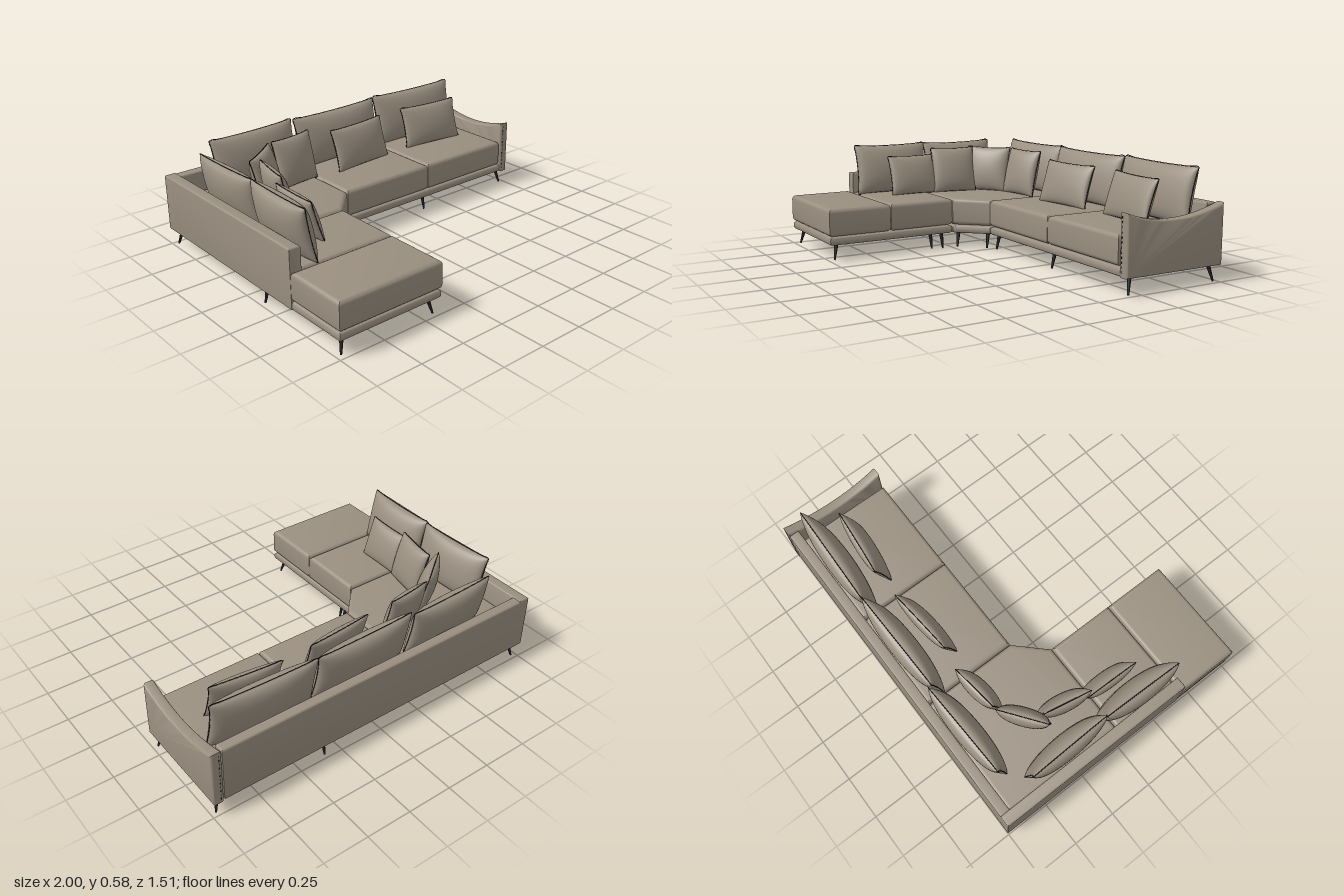
import * as THREE from 'three';
import { mergeGeometries, toCreasedNormals } from 'three/addons/utils/BufferGeometryUtils.js';

const fabric = new THREE.MeshStandardMaterial({ color: 0x9a8f80 });
fabric.name = 'taupe fabric';
const dark = new THREE.MeshStandardMaterial({ color: 0x1d1c1e });
dark.name = 'dark metal and thread';

export function createModel() {
  const sofa = new THREE.Group();
  sofa.name = 'cornerSofa';

  const add = (parent, name, geometry, material = fabric) => {
    const mesh = new THREE.Mesh(geometry, material);
    mesh.name = name;
    parent.add(mesh);
    return mesh;
  };

  // Extrusion with rounded edges that stays inside the given outline
  const softExtrude = (shape, height, r) => toCreasedNormals(new THREE.ExtrudeGeometry(shape, {
    depth: height - 2 * r, bevelThickness: r, bevelSize: r, bevelOffset: -r,
    bevelSegments: 5, curveSegments: 20,
  }).translate(0, 0, r), 0.6);

  // Upholstered slab: floor-plan outline of [x, z] points between two heights
  const slab = (name, plan, y0, y1, r) => {
    const shape = new THREE.Shape(plan.map(([x, z]) => new THREE.Vector2(x, -z)));
    return add(sofa, name, softExtrude(shape, y1 - y0, r).rotateX(-Math.PI / 2).translate(0, y0, 0));
  };
  const rect = (x0, x1, z0, z1) => [[x0, z1], [x1, z1], [x1, z0], [x0, z0]];

  // Base frame
  const cornerPlan = (x0, z0, gap) => [[x0, -gap], [-0.4 - gap * 0.4, -gap],
    [-0.245 - gap, -0.16 - gap * 0.4], [-0.245 - gap, z0], [x0, z0]];
  slab('chaiseBase', rect(-0.998, -0.402, 0.003, 0.748), 0.085, 0.131, 0.016);
  slab('cornerBase', cornerPlan(-0.99, -0.745, 0.003), 0.085, 0.131, 0.016);
  slab('mainBase', rect(-0.243, 0.945, -0.745, -0.162), 0.085, 0.131, 0.016);

  // Seat cushions
  const seats = [
    ['ottomanSeat', rect(-1, -0.4, 0.392, 0.752)],
    ['chaiseSeat', rect(-0.937, -0.4, 0.002, 0.388)],
    ['cornerSeat', cornerPlan(-0.937, -0.698, 0.002)],
    ['middleSeat', rect(-0.243, 0.338, -0.698, -0.16)],
    ['endSeat', rect(0.342, 0.928, -0.698, -0.16)],
  ];
  for (const [name, plan] of seats) slab(name, plan, 0.133, 0.287, 0.024);

  // Low back panels
  slab('rearBack', rect(-1, 0.938, -0.755, -0.698), 0.085, 0.395, 0.01);
  slab('sideBack', rect(-1, -0.937, -0.755, 0.39), 0.085, 0.4, 0.01);

  // Armrest with a dipped top edge
  const armShape = new THREE.Shape();
  armShape.moveTo(0.158, 0.085);
  armShape.lineTo(0.757, 0.085);
  armShape.lineTo(0.757, 0.4);
  armShape.quadraticCurveTo(0.44, 0.29, 0.158, 0.397);
  armShape.closePath();
  add(sofa, 'armrest', softExtrude(armShape, 0.058, 0.012).rotateY(Math.PI / 2).translate(0.941, 0, 0));

  // Stitches down both ends of the armrest
  const stitches = [];
  for (const z of [-0.158, -0.757]) {
    for (let y = 0.11; y < 0.38; y += 0.024) {
      stitches.push(new THREE.BoxGeometry(0.003, 0.011, 0.003).translate(0.957, y, z));
    }
  }
  add(sofa, 'armStitches', mergeGeometries(stitches), dark);

  // Pillow: two bulged sheets meeting at a piped seam with pinched sides
  const pillowPoint = (u, v, w, h, t) => new THREE.Vector3(
    u * w / 2 * (1 - 0.045 * (1 - v * v)),
    h / 2 + v * h / 2 * (1 - 0.045 * (1 - u * u)),
    t / 2 * Math.pow(Math.max(0, (1 - u * u) * (1 - v * v)), 0.4));

  const pillow = (name, x, z, yaw, tilt, w, h, t) => {
    const front = new THREE.PlaneGeometry(2, 2, 28, 20);
    const pos = front.attributes.position;
    for (let i = 0; i < pos.count; i++) {
      const u = Math.sin(pos.getX(i) * Math.PI / 2);
      const v = Math.sin(pos.getY(i) * Math.PI / 2);
      const p = pillowPoint(u, v, w, h, t);
      pos.setXYZ(i, p.x, p.y, p.z);
    }
    front.computeVertexNormals();
    const back = front.clone().rotateY(Math.PI);
    const group = new THREE.Group();
    group.name = name;
    add(group, 'cover', mergeGeometries([front, back]));

    // Piping around the seam
    const corners = [[-1, -1], [1, -1], [1, 1], [-1, 1]];
    const seam = [];
    corners.forEach(([u, v], i) => {
      const [u2, v2] = corners[(i + 1) % 4];
      for (let k = 0; k < 8; k++) {
        seam.push(pillowPoint(u + (u2 - u) * k / 8, v + (v2 - v) * k / 8, w, h, 0));
      }
    });
    const path = new THREE.CatmullRomCurve3(seam, true);
    add(group, 'piping', new THREE.TubeGeometry(path, 96, 0.0025, 5, true), dark);

    group.rotation.set(-tilt, yaw, 0, 'YXZ');
    group.position.set(x, 0.283, z);
    sofa.add(group);
  };

  // Large back pillows
  pillow('backPillowCorner', -0.512, -0.602, 0.04, 0.2, 0.535, 0.29, 0.135);
  pillow('backPillowMiddle', 0.048, -0.598, 0.02, 0.2, 0.585, 0.29, 0.14);
  pillow('backPillowEnd', 0.633, -0.598, -0.03, 0.2, 0.585, 0.295, 0.135);
  pillow('sidePillowRear', -0.84, -0.295, Math.PI / 2 + 0.03, 0.2, 0.47, 0.285, 0.13);
  pillow('sidePillowFront', -0.842, 0.165, Math.PI / 2 - 0.02, 0.2, 0.455, 0.29, 0.14);

  // Small throw pillows
  pillow('throwPillowCornerA', -0.37, -0.425, 0.13, 0.24, 0.265, 0.27, 0.1);
  pillow('throwPillowCornerB', -0.602, -0.338, 0.64, 0.24, 0.275, 0.27, 0.1);
  pillow('throwPillowCornerC', -0.655, -0.155, 1.38, 0.24, 0.265, 0.27, 0.1);
  pillow('throwPillowChaise', -0.69, 0.09, 1.55, 0.3, 0.3, 0.235, 0.09);
  pillow('throwPillowMiddle', 0.085, -0.425, 0.09, 0.3, 0.385, 0.24, 0.09);
  pillow('throwPillowEnd', 0.628, -0.43, -0.1, 0.3, 0.39, 0.24, 0.09);

  // Splayed tapered legs: foot [x, z] and the direction it leans
  const legs = [
    [-0.972, 0.718, -1, 1], [-0.428, 0.718, 1, 1], [-0.972, 0.122, -1, 0], [-0.428, 0.122, 1, 0],
    [-0.402, 0.064, 1, 0], [-0.402, -0.032, 1, 1], [-0.276, -0.158, 1, 1], [-0.22, -0.19, 0, 1],
    [0.34, -0.19, 0, 1], [0.34, -0.725, 0, -1], [0.972, -0.19, 1, 1], [0.972, -0.725, 1, -1],
    [-0.972, -0.725, -1, -1],
  ];
  const up = new THREE.Vector3(0, 1, 0);
  for (const [x, z, dx, dz] of legs) {
    const foot = new THREE.Vector3(x, 0.001, z);
    const top = new THREE.Vector3(x - dx * 0.022, 0.095, z - dz * 0.022);
    const axis = top.clone().sub(foot);
    const leg = add(sofa, 'leg', new THREE.CylinderGeometry(0.012, 0.005, axis.length(), 12), dark);
    leg.quaternion.setFromUnitVectors(up, axis.clone().normalize());
    leg.position.copy(foot).addScaledVector(axis, 0.5);
  }

  return sofa;
}
